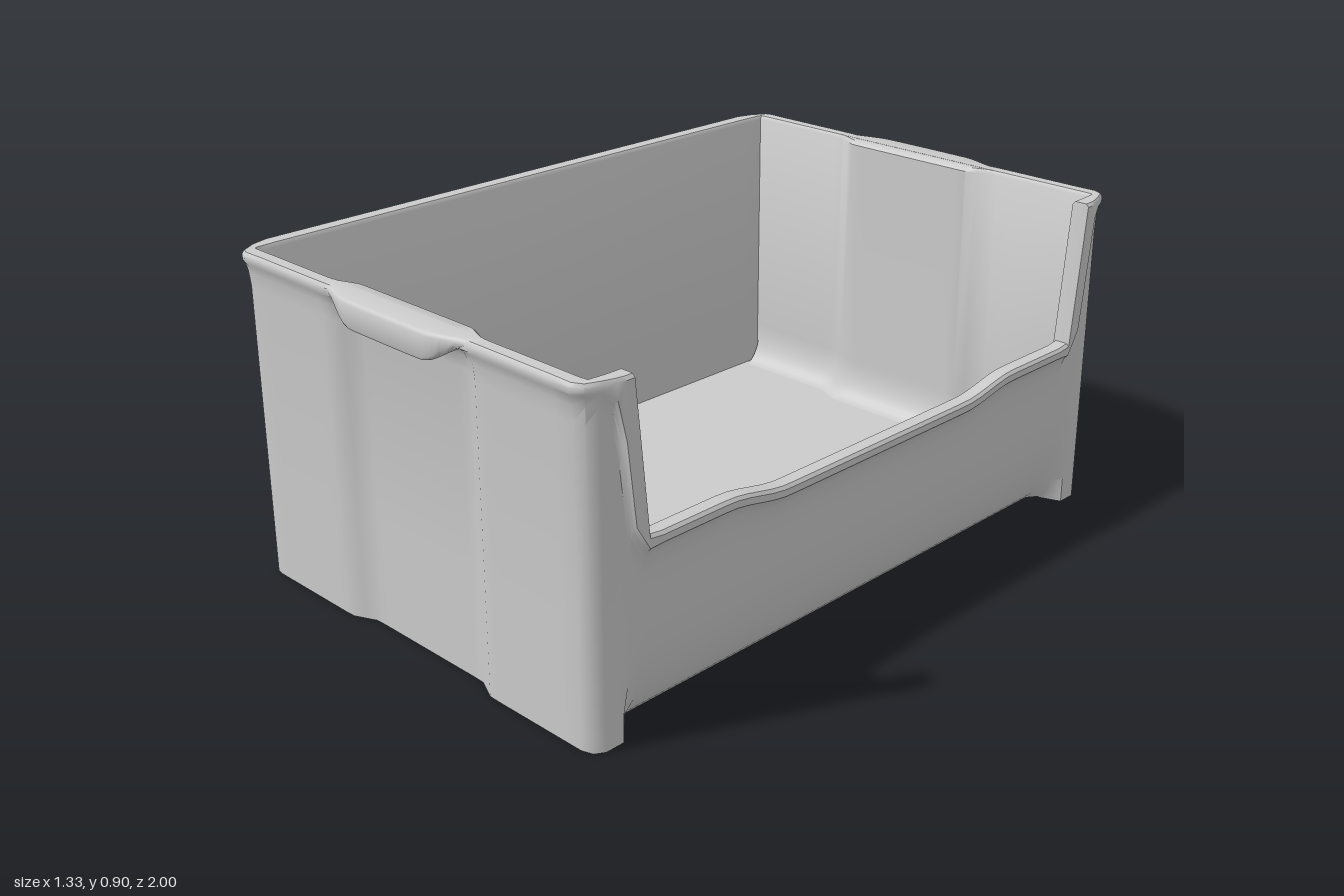
import * as THREE from 'three';
import { toCreasedNormals } from 'three/addons/utils/BufferGeometryUtils.js';

const material = new THREE.MeshStandardMaterial({ color: 0xcccccc });
const FLOOR = 0.08;
const smooth = (x, a, b) => THREE.MathUtils.smoothstep(x, a, b);

// One position on the perimeter: plan points of the outer wall, inner wall and rim edge.
// fx, fz: reach of the inside fillet; panel: how far the wall curves under at its foot.
function station(outer, inner, rim, opts = {}) {
  return { outer, inner, rim, top: 0.9, drop: 0.025, panel: 0, fx: 0, fz: 0, ...opts };
}

// Half of the perimeter, from the middle of the high wall to the middle of the low one
function halfPerimeter() {
  const list = [
    station([-0.64, 0], [-0.61, 0], [-0.665, 0]),
    station([-0.64, 0.86], [-0.61, 0.86], [-0.665, 0.87]),
    station([-0.635, 0.92], [-0.61, 0.925], [-0.65, 0.915]),
    station([-0.615, 0.95], [-0.61, 0.925], [-0.62, 0.965]),
    station([-0.59, 0.955], [-0.6, 0.925], [-0.6, 0.972], { fz: 0.06 }),
  ];
  // end wall with its shallow recess
  for (let i = 0; i <= 36; i++) {
    const x = -0.54 + i * 0.03;
    const r = 0.03 * (1 - smooth(Math.abs(x), 0.2, 0.28));
    list.push(station([x, 0.955 - r], [x, 0.925 - r], [x, 0.97],
      { fx: Math.max(0, (x - 0.36) * 0.68), fz: 0.06 }));
  }
  // corner post and the steep edge of the opening
  list.push(
    station([0.59, 0.955], [0.59, 0.925], [0.6, 0.972], { fx: 0.156, fz: 0.06 }),
    station([0.62, 0.945], [0.61, 0.925], [0.628, 0.955], { fx: 0.17, fz: 0.06 }),
    station([0.635, 0.92], [0.61, 0.9], [0.645, 0.915], { fx: 0.17, fz: 0.04 }),
    station([0.635, 0.885], [0.61, 0.885], [0.655, 0.885], { fx: 0.17, fz: 0.03, drop: 0.05 }),
    station([0.635, 0.865], [0.61, 0.865], [0.66, 0.865], { fx: 0.17, fz: 0.02, drop: 0.15 }),
    station([0.635, 0.84], [0.61, 0.84], [0.66, 0.84], { fx: 0.17, fz: 0.01, drop: 0.36, panel: 0.65 }),
    station([0.635, 0.8], [0.61, 0.8], [0.66, 0.8], { fx: 0.17, top: 0.51, drop: 0.035, panel: 1 }));
  // low access panel
  for (let i = 19; i >= 0; i--) {
    const z = i * 0.04;
    list.push(station([0.635, z], [0.61, z], [0.66, z],
      { fx: 0.17, top: 0.475 + 0.03 * smooth(z, 0.34, 0.55), drop: 0.028, panel: 1 }));
  }
  return list;
}

// Cross-section of the wall: up the outside, over the rim, down the inside to the floor
function section({ outer, inner, rim, top, drop, panel, fx, fz }) {
  const pts = [];
  const mix = (a, b, t, y) => pts.push([a[0] + (b[0] - a[0]) * t, y, a[1] + (b[1] - a[1]) * t]);
  for (const y of [0, 0.008, 0.03, 0.07, 0.13, 0.2, 0.3]) {
    const inset = 0.1 * panel * (1 - Math.sqrt(1 - (1 - y / 0.3) ** 2));
    pts.push([outer[0] - inset, y, outer[1]]);
  }
  mix(outer, rim, 0, top - drop - 0.07);
  mix(outer, rim, 0.25, top - drop - 0.03);
  mix(outer, rim, 0.6, top - drop - 0.008);
  mix(outer, rim, 1, top - drop + 0.002);
  mix(outer, rim, 1, top - 0.008);
  mix(rim, inner, 0.15, top);
  mix(rim, inner, 0.85, top);
  mix(rim, inner, 1, top - 0.01);
  const h = 0.12 + 0.18 * Math.min(1, fx / 0.17);
  for (let k = 0; k <= 8; k++) {
    const a = (k / 8) * Math.PI / 2;
    const c = 1 - Math.cos(a);
    pts.push([inner[0] - fx * c, FLOOR + h * (1 - Math.sin(a)), inner[1] - fz * c]);
  }
  return pts;
}

// Skin a list of equal cross-sections; closed flags join the last to the first
function skin(rows, closeRows, closeSection) {
  const n = rows[0].length, index = [];
  for (let i = 0; i < rows.length - (closeRows ? 0 : 1); i++) {
    const i2 = (i + 1) % rows.length;
    for (let j = 0; j < n - (closeSection ? 0 : 1); j++) {
      const j2 = (j + 1) % n;
      const a = i * n + j, b = i2 * n + j, c = i2 * n + j2, d = i * n + j2;
      index.push(a, b, c, a, c, d);
    }
  }
  const g = new THREE.BufferGeometry();
  g.setAttribute('position', new THREE.Float32BufferAttribute(rows.flat(2), 3));
  g.setIndex(index);
  return toCreasedNormals(g, 0.75);
}

// Curled grip lip, swept along x
function gripGeometry() {
  const rows = [];
  for (let i = 0; i <= 32; i++) {
    const x = -0.28 + i * 0.0175;
    const k = 1 - smooth(Math.abs(x), 0.14, 0.28);
    const z = 0.968 + 0.032 * k - 0.06 * x * x * k;
    const low = 0.9 - 0.022 - 0.053 * (1 - smooth(Math.abs(x), 0.13, 0.26));
    const under = Math.max(low, 0.872);
    rows.push([[x, under, 0.93], [x, under, z - 0.016], [x, low, z - 0.014],
      [x, low + 0.003, z - 0.004], [x, low + 0.01, z], [x, 0.89, z],
      [x, 0.897, z - 0.004], [x, 0.9005, z - 0.012], [x, 0.9005, 0.93]]);
  }
  return skin(rows, false, true);
}

export function createModel() {
  const group = new THREE.Group();
  const add = (name, geometry) => {
    const mesh = new THREE.Mesh(geometry, material);
    mesh.name = name;
    group.add(mesh);
    return mesh;
  };

  // walls and rim, mirrored front to back
  const half = halfPerimeter().map(section);
  const mirrored = half.slice(1, -1).reverse().map(s => s.map(([x, y, z]) => [x, y, -z]));
  const rows = [...half, ...mirrored];
  add('wallsAndRim', skin(rows, true, false));

  // underside and inside floor fill the first and last rings of the walls
  const plate = j => new THREE.ShapeGeometry(
    new THREE.Shape(rows.map(s => new THREE.Vector2(s[j][0], s[j][2]))));
  add('underside', plate(0).rotateX(Math.PI / 2));
  add('insideFloor', plate(rows[0].length - 1).rotateX(-Math.PI / 2)).position.y = FLOOR;

  // grip lips at both ends
  const grip = gripGeometry();
  add('frontGrip', grip);
  add('backGrip', grip).rotation.y = Math.PI;
  return group;
}
